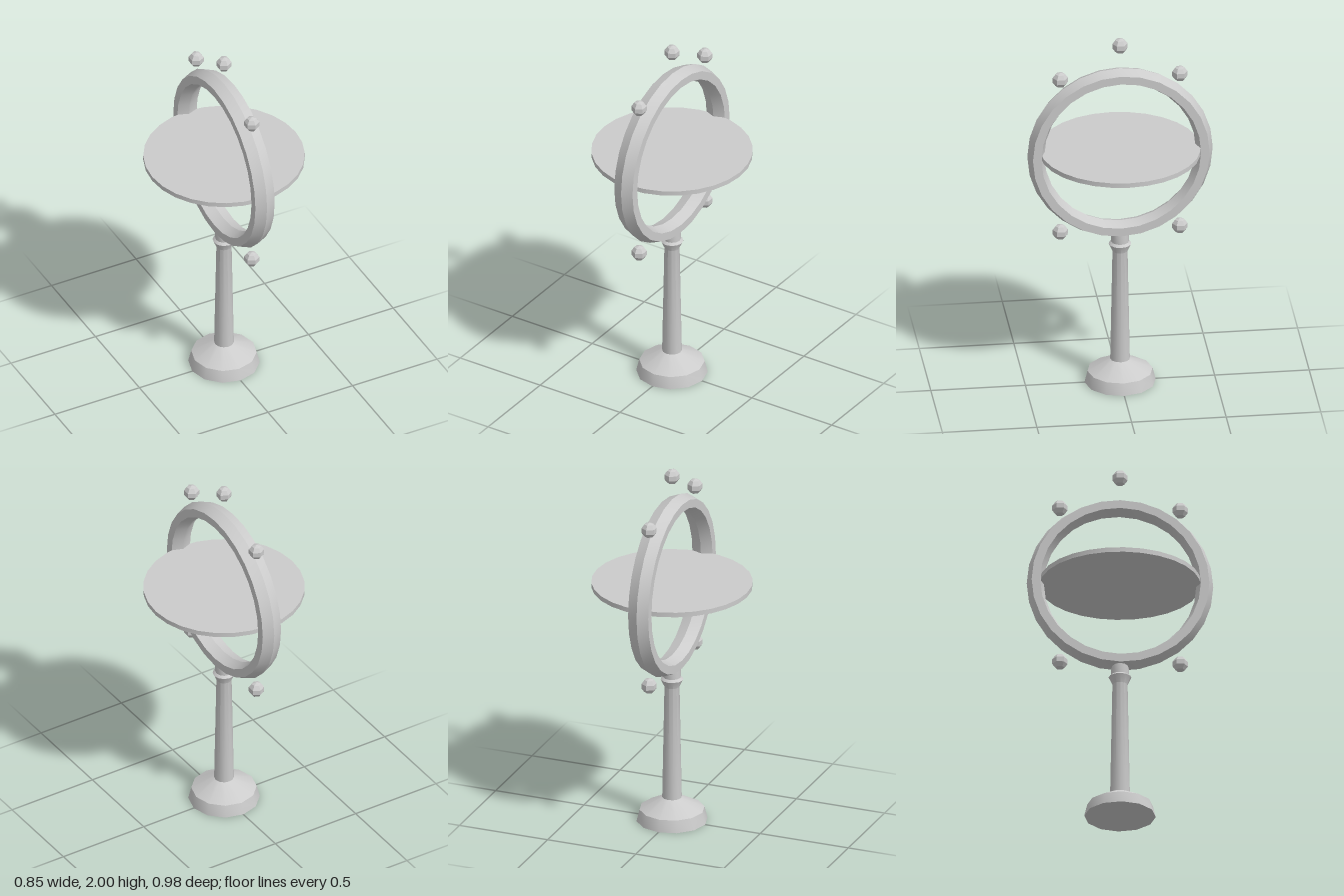
import * as THREE from 'three';
import { toCreasedNormals } from 'three/addons/utils/BufferGeometryUtils.js';

const CREASE = THREE.MathUtils.degToRad(35);

export function createModel() {
  const model = new THREE.Group();
  model.name = 'ringStand';
  const grey = new THREE.MeshStandardMaterial({ color: 0xcccccc });
  const faceted = new THREE.MeshStandardMaterial({ color: 0xcccccc, flatShading: true });

  const add = (name, geometry, y, z = 0, material = grey) => {
    const mesh = new THREE.Mesh(geometry, material);
    mesh.name = name;
    mesh.position.set(0, y, z);
    model.add(mesh);
    return mesh;
  };
  const lathe = (profile, sides) => toCreasedNormals(
    new THREE.LatheGeometry(profile.map(([r, y]) => new THREE.Vector2(r, y)), sides), CREASE);

  // Foot, tapered column, flared collar and neck turned as one piece
  add('pedestal', lathe([
    [0, 0], [0.188, 0], [0.172, 0.065], [0.052, 0.13],
    [0.04, 0.76], [0.06, 0.803], [0.047, 0.815], [0.047, 0.88], [0, 0.88],
  ], 12), 0);

  // Upright ring with a six-sided section, its axis along x
  const ring = lathe([
    [0.49, 0], [0.467, 0.057], [0.422, 0.057],
    [0.4, 0], [0.422, -0.057], [0.467, -0.057], [0.49, 0],
  ], 28);
  ring.rotateZ(Math.PI / 2);
  add('ring', ring, 1.337);

  // Thin horizontal plate through the ring
  add('disc', toCreasedNormals(new THREE.CylinderGeometry(0.424, 0.424, 0.026, 28), CREASE), 1.348);

  // Small faceted balls floating around the ring
  const ball = new THREE.SphereGeometry(0.0425, 6, 5);
  ball.rotateY(Math.PI / 6);
  add('topBall', ball, 1.9575, 0, faceted);
  for (const z of [-0.316, 0.316]) {
    const side = z > 0 ? 'front' : 'back';
    add(side + 'UpperBall', ball, 1.777, z, faceted);
    add(side + 'LowerBall', ball, 0.888, z, faceted);
  }
  return model;
}
